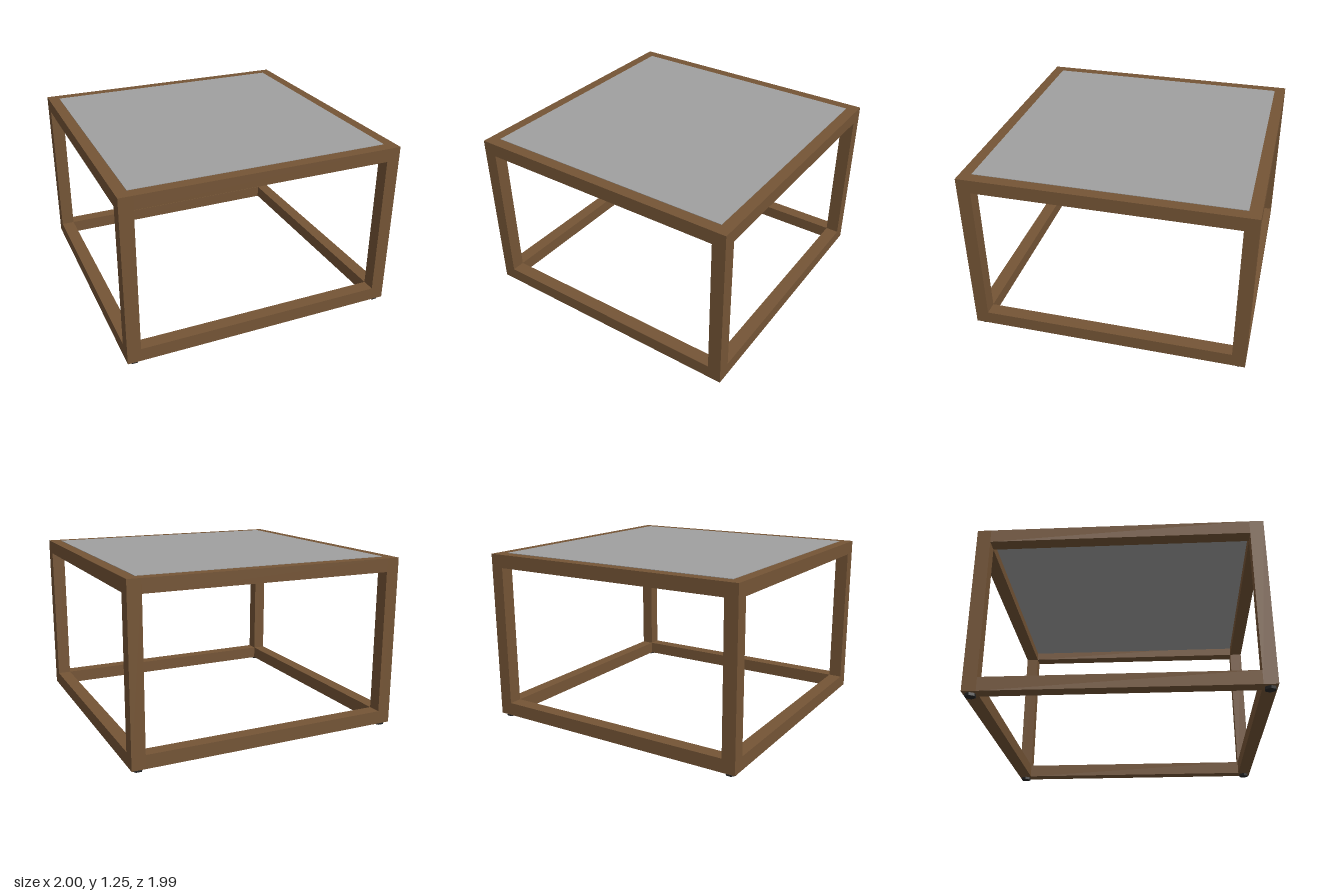
import * as THREE from 'three';

const wood = new THREE.MeshStandardMaterial({ name: 'brown wood', color: 0x755536 });
const glass = new THREE.MeshStandardMaterial({ name: 'grey panel', color: 0xa0a0a0 });
const rubber = new THREE.MeshStandardMaterial({ name: 'dark rubber', color: 0x252525 });

const X = 1, Z = 0.995;        // half width and half depth
const Y0 = 0.02, Y1 = 1.244;   // underside and top of the frame
const BAR = 0.096;             // bar thickness

export function createModel() {
  const group = new THREE.Group();
  group.name = 'sideTable';

  const add = (name, geometry, material, x, y, z) => {
    const mesh = new THREE.Mesh(geometry, material);
    mesh.name = name;
    mesh.position.set(x, y, z);
    group.add(mesh);
    return mesh;
  };

  // Corner posts with hexagonal feet
  const post = new THREE.BoxGeometry(BAR, Y1 - Y0, BAR);
  const foot = new THREE.CylinderGeometry(0.038, 0.038, Y0, 6).rotateY(Math.PI / 2).toNonIndexed();
  foot.computeVertexNormals();
  for (const sx of [-1, 1]) {
    for (const sz of [-1, 1]) {
      const side = (sz > 0 ? 'front' : 'back') + (sx > 0 ? 'Left' : 'Right');
      add(side + 'Post', post, wood, sx * (X - BAR / 2), (Y0 + Y1) / 2, sz * (Z - BAR / 2));
      add(side + 'Foot', foot, rubber, sx * 0.947, Y0 / 2, sz * 0.947);
    }
  }

  // Upper and lower rails between the posts
  const railX = new THREE.BoxGeometry(2 * (X - BAR), BAR, BAR);
  const railZ = new THREE.BoxGeometry(BAR, BAR, 2 * (Z - BAR));
  for (const [level, y] of [['lower', Y0 + BAR / 2], ['upper', Y1 - BAR / 2]]) {
    for (const s of [-1, 1]) {
      add(level + (s > 0 ? 'Front' : 'Back') + 'Rail', railX, wood, 0, y, s * (Z - BAR / 2));
      add(level + (s > 0 ? 'Left' : 'Right') + 'Rail', railZ, wood, s * (X - BAR / 2), y, 0);
    }
  }

  // Table top let into the upper rails, just proud of them
  add('tableTop', new THREE.BoxGeometry(1.838, 0.035, 1.828), glass, 0, Y1 + 0.003 - 0.0175, 0);

  return group;
}
